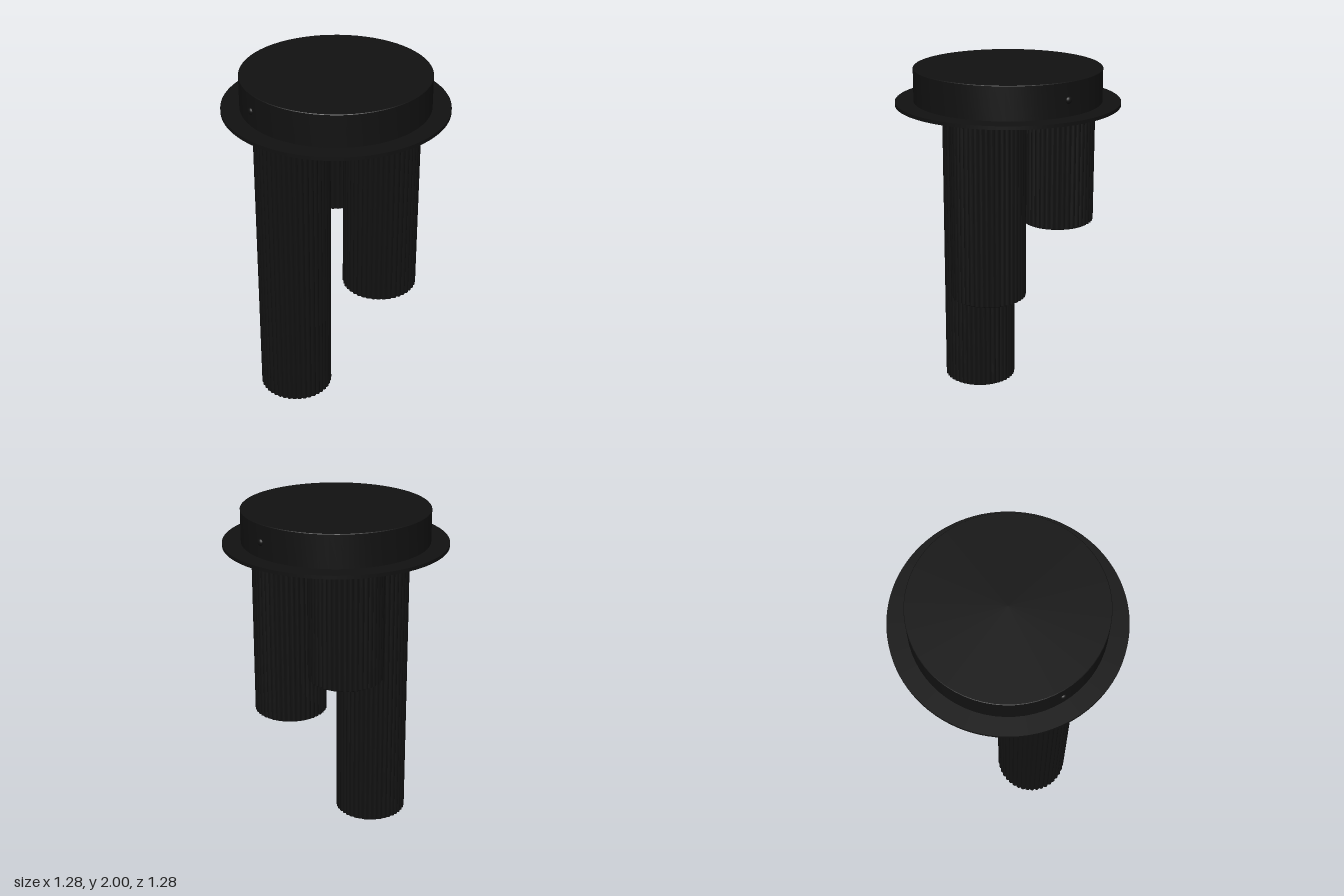
import * as THREE from 'three';
import { toCreasedNormals } from 'three/addons/utils/BufferGeometryUtils.js';

const black = new THREE.MeshStandardMaterial({ color: 0x111111 });
const pale = new THREE.MeshStandardMaterial({ color: 0xcccccc, side: THREE.DoubleSide });
const PLATE_Y = 1.8;

function add(parent, name, geometry, material, x = 0, y = 0, z = 0) {
  const mesh = new THREE.Mesh(geometry, material);
  mesh.name = name;
  mesh.position.set(x, y, z);
  parent.add(mesh);
  return mesh;
}

function lathe(points) {
  const g = new THREE.LatheGeometry(points.map(([r, y]) => new THREE.Vector2(r, y)), 64);
  return toCreasedNormals(g, 0.5);
}

// Ring-shaped section with convex ribs around the outside
function ribbedSection(ribs = 42, steps = 6) {
  const points = [];
  for (let i = 0; i < ribs * steps; i++) {
    const a = (i / (ribs * steps)) * Math.PI * 2;
    const r = 0.205 + 0.009 * Math.sin(((i % steps) / steps) * Math.PI);
    points.push(new THREE.Vector2(r * Math.cos(a), r * Math.sin(a)));
  }
  const shape = new THREE.Shape(points);
  shape.holes.push(new THREE.Path().absarc(0, 0, 0.175, 0, Math.PI * 2, true));
  return shape;
}

// One hanging spotlight: ribbed tube, end ring and recessed diffuser
function pendant(name, x, z, bottom) {
  const group = new THREE.Group();
  group.name = name;
  group.position.set(x, bottom, z);
  const tube = new THREE.ExtrudeGeometry(ribbedSection(), {
    depth: PLATE_Y - bottom - 0.01, bevelEnabled: false, curveSegments: 32,
  });
  tube.rotateX(-Math.PI / 2);
  add(group, 'ribbedTube', toCreasedNormals(tube, 0.6), black, 0, 0.01, 0);
  add(group, 'endRing', lathe([[0.175, 0.012], [0.175, 0], [0.194, 0], [0.202, 0.012]]), black);
  add(group, 'diffuser', lathe([[0, 0.014], [0.173, 0.014], [0.173, 0.001]]), pale);
  return group;
}

export function createModel() {
  const model = new THREE.Group();
  model.name = 'ceilingLight';

  // Ceiling canopy and wide cover plate
  add(model, 'canopy', lathe([
    [0, 1.8], [0.535, 1.8], [0.535, 1.997], [0.532, 2], [0, 2],
  ]), black);
  add(model, 'coverPlate', new THREE.CylinderGeometry(0.64, 0.64, 0.02, 96), black, 0, PLATE_Y, 0);

  // Side screws
  for (const side of [-1, 1]) {
    const screw = add(model, side > 0 ? 'leftScrew' : 'rightScrew',
      new THREE.SphereGeometry(0.02, 20, 12), black, side * 0.533, 1.9, 0);
    screw.scale.x = 0.75;
  }

  // Three tubes of different lengths, evenly spaced around the centre
  [['longPendant', 0], ['middlePendant', 0.72], ['shortPendant', 1.08]].forEach(([name, bottom], i) => {
    const a = Math.PI - (i * Math.PI * 2) / 3;
    model.add(pendant(name, 0.287 * Math.cos(a), 0.287 * Math.sin(a), bottom));
  });
  return model;
}
